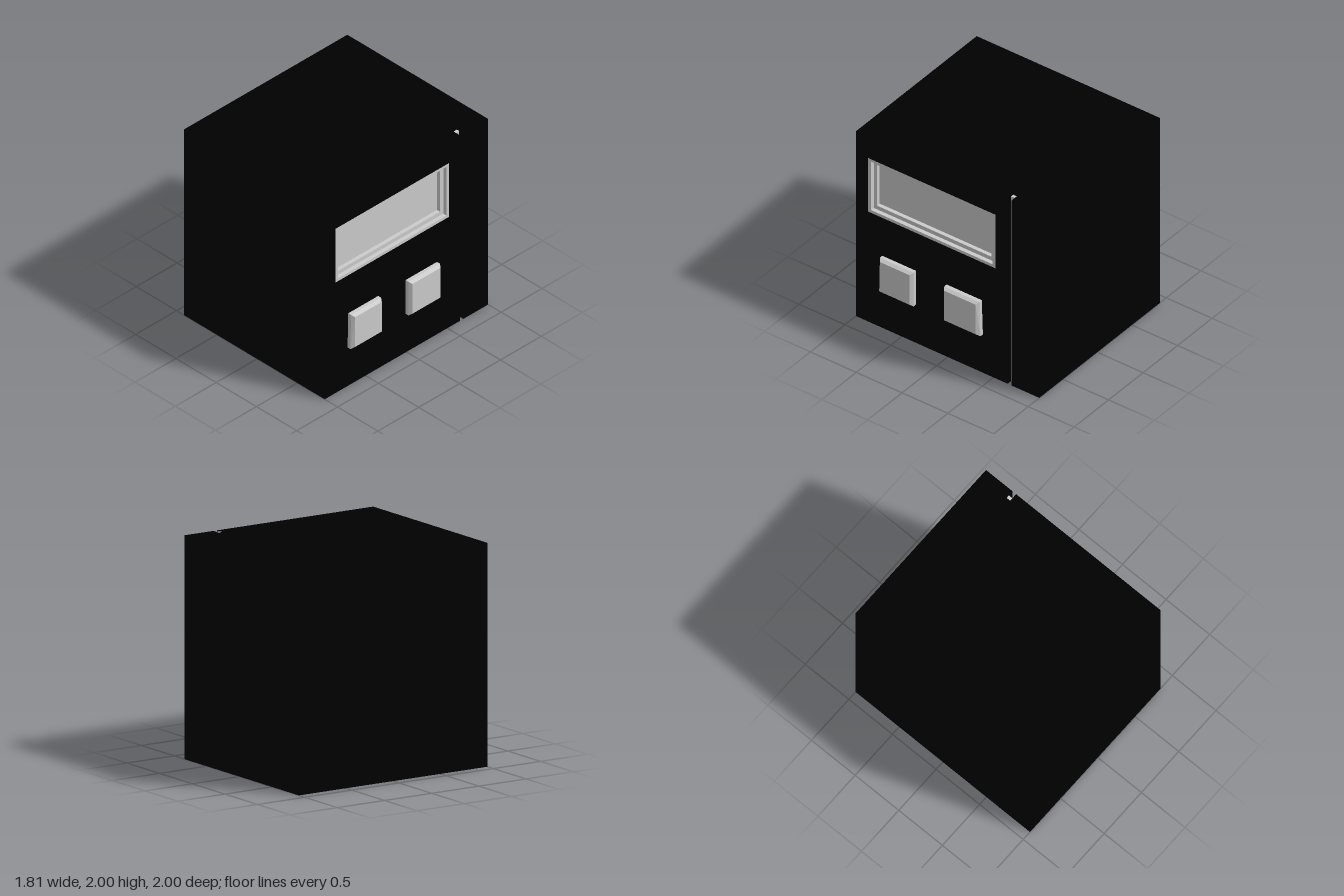
import * as THREE from 'three';
import { ConvexGeometry } from 'three/addons/geometries/ConvexGeometry.js';

const black = new THREE.MeshStandardMaterial({ color: 0x000000 });
const grey = new THREE.MeshStandardMaterial({ color: 0xcccccc, flatShading: true });

const FACE = 0.84; // x of the control side
const CORE = 0.76; // x of the recess floor

// Rectangle in side-panel coordinates: horizontal axis is -z, vertical axis is y
function rect(Type, [z0, z1, y0, y1]) {
  return new Type([[-z1, y0], [-z0, y0], [-z0, y1], [-z1, y1]].map(([a, b]) => new THREE.Vector2(a, b)));
}

// Slab between two x positions, with an optional rectangular opening
function slab(name, outer, hole, x0, x1, material) {
  const shape = rect(THREE.Shape, outer);
  if (hole) shape.holes.push(rect(THREE.Path, hole));
  const geometry = new THREE.ExtrudeGeometry(shape, { depth: x1 - x0, bevelEnabled: false });
  geometry.rotateY(Math.PI / 2).translate(x0, 0, 0);
  const mesh = new THREE.Mesh(geometry, material);
  mesh.name = name;
  return mesh;
}

// Raised button with straight sides and a chamfered face; the outer end tapers slightly
function button(name, base, face, taper) {
  const corners = (x, [z0, z1, y0, y1], t) => [
    [x, y0, z0], [x, y0, z1],
    [x, y1, z0 + (t < 0 ? -t : 0)], [x, y1, z1 - (t > 0 ? t : 0)],
  ];
  const points = [
    ...corners(FACE - 0.01, base, taper),
    ...corners(0.875, base, taper),
    ...corners(0.905, face, 0),
  ].map((p) => new THREE.Vector3(...p));
  const mesh = new THREE.Mesh(new ConvexGeometry(points), grey);
  mesh.name = name;
  return mesh;
}

export function createModel() {
  const model = new THREE.Group();
  model.name = 'cabinet';

  // Main block
  const core = new THREE.Mesh(new THREE.BoxGeometry(CORE + 0.91, 2, 2), black);
  core.position.set((CORE - 0.91) / 2, 1, 0);
  core.name = 'body';
  model.add(core);

  // Nested window rectangles: z0, z1, y0, y1
  const outer = [-0.52, 0.87, 1.19, 1.77];
  const middle = [-0.49, 0.835, 1.22, 1.745];
  const inner = [-0.45, 0.8, 1.26, 1.7];

  // Side skin, split by the vertical groove
  model.add(
    slab('sidePanel', [-0.655, 1, 0, 2], outer, CORE, FACE, black),
    slab('rearPanel', [-1, -0.695, 0, 2], null, CORE, FACE, black),
    slab('grooveFloor', [-0.695, -0.655, 0, 2], null, CORE, 0.79, grey),
  );

  // Stepped window frame and recessed pane
  model.add(
    slab('windowFrame', outer, middle, CORE, FACE, grey),
    slab('windowStep', middle, inner, CORE, 0.8, grey),
    slab('windowPane', inner, null, CORE - 0.01, CORE + 0.002, grey),
  );

  // Two buttons below the window
  model.add(
    button('frontButton', [0.345, 0.72, 0.415, 0.78], [0.365, 0.69, 0.44, 0.76], 0.008),
    button('rearButton', [-0.385, 0.01, 0.415, 0.78], [-0.355, -0.01, 0.44, 0.76], -0.012),
  );
  return model;
}
